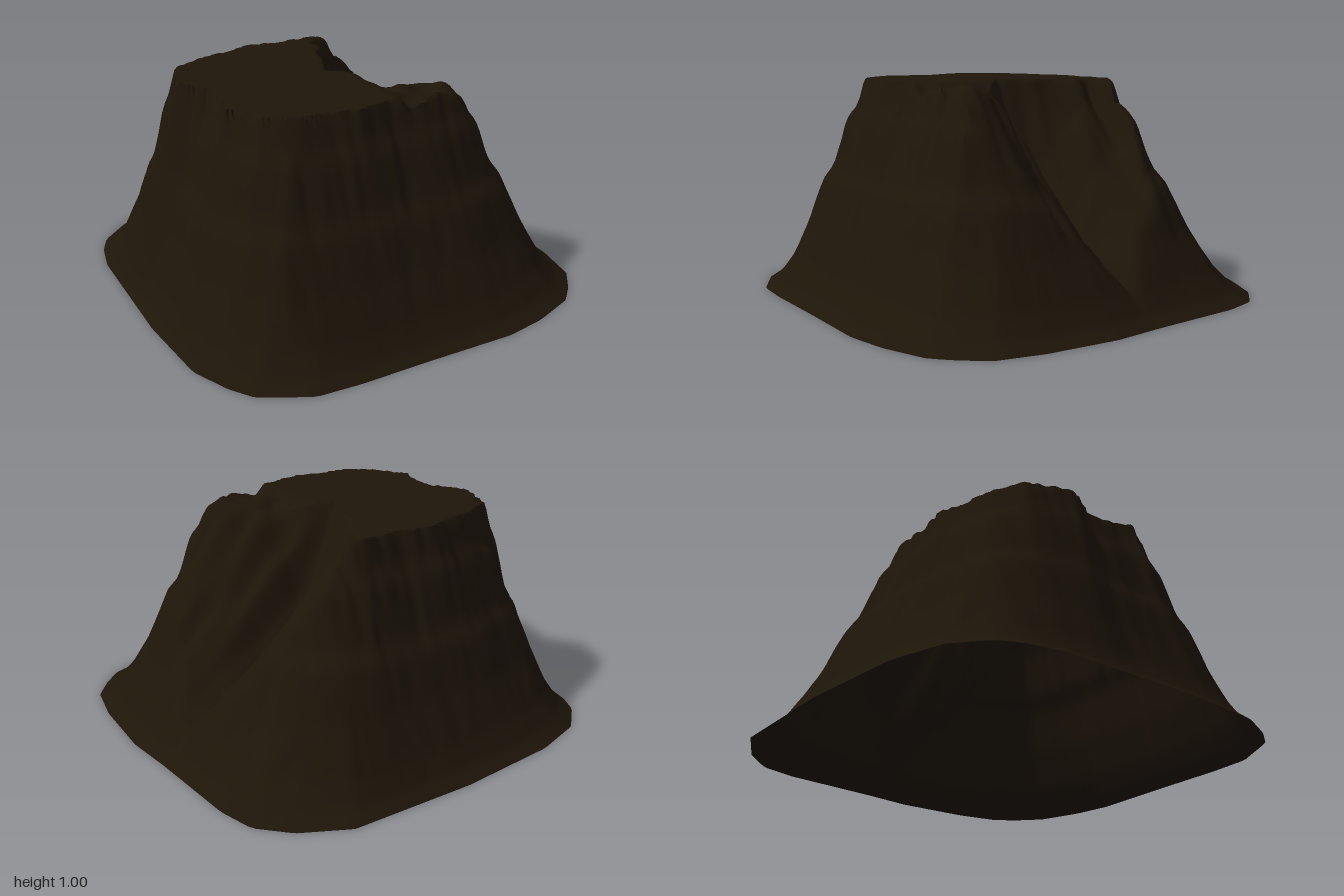
import * as THREE from 'three';
import { toCreasedNormals } from 'three/addons/utils/BufferGeometryUtils.js';

const { lerp, clamp, smoothstep } = THREE.MathUtils;

// Foot of the mountain and edge of its flat summit, as [x, z] loops by rising angle
const FOOT = [[1, 0.15], [0.97, 0.5], [0.92, 0.71], [0.83, 0.82], [0.74, 0.9], [0.53, 0.97], [0.33, 1],
  [-0.1, 0.98], [-0.43, 0.97], [-0.63, 0.95], [-0.84, 0.83], [-0.91, 0.72], [-0.98, 0.54], [-1, 0.15],
  [-0.97, -0.52], [-0.93, -0.68], [-0.88, -0.78], [-0.74, -0.9], [-0.49, -0.97], [0, -1], [0.59, -0.975],
  [0.8, -0.86], [0.92, -0.73], [0.96, -0.56], [0.98, -0.1]];
const SUMMIT = [[0.47, 0.1], [0.47, 0.3], [0.4, 0.46], [0.15, 0.51], [-0.2, 0.52], [-0.45, 0.5], [-0.56, 0.41],
  [-0.65, 0.23], [-0.61, 0.16], [-0.61, -0.02], [-0.69, -0.17], [-0.65, -0.26], [-0.61, -0.38],
  [-0.45, -0.46], [-0.2, -0.51], [0.05, -0.5], [0.2, -0.5], [0.33, -0.41], [0.43, -0.25]];

// Slope height from summit edge (0) to foot (1), and gully floor height along x
const SLOPE = [[0, 1], [0.07, 0.88], [0.17, 0.8], [0.31, 0.58], [0.41, 0.51], [0.56, 0.31], [0.75, 0.125], [0.88, 0.04], [1, 0]];
const FLOOR = [[-0.03, 1], [0.08, 0.78], [0.2, 0.59], [0.4, 0.41], [0.7, 0.22], [0.82, 0.14], [1, 0.04]];

function lookup(table, t) {
  if (t <= table[0][0]) return table[0][1];
  for (let i = 1; i < table.length; i++) {
    const [x0, y0] = table[i - 1], [x1, y1] = table[i];
    if (t <= x1) return y0 + (y1 - y0) * (t - x0) / (x1 - x0);
  }
  return table[table.length - 1][1];
}

// Distance from the centre to a loop in a given direction
function reach(loop, dx, dz) {
  for (let i = 0; i < loop.length; i++) {
    const [ax, az] = loop[i], [bx, bz] = loop[(i + 1) % loop.length];
    const ca = dx * az - dz * ax, cb = dx * bz - dz * bx;
    if (ca <= 0 && cb > 0) {
      const k = ca / (ca - cb);
      return (ax + (bx - ax) * k) * dx + (az + (bz - az) * k) * dz;
    }
  }
  return 1;
}

// Smooth value noise in the range -1 to 1
function hash(i, j) {
  const s = Math.sin(i * 127.1 + j * 311.7) * 43758.5453;
  return (s - Math.floor(s)) * 2 - 1;
}
function noise(x, y) {
  const i = Math.floor(x), j = Math.floor(y), u = x - i, v = y - j;
  const a = u * u * (3 - 2 * u), b = v * v * (3 - 2 * v);
  return lerp(lerp(hash(i, j), hash(i + 1, j), a), lerp(hash(i, j + 1), hash(i + 1, j + 1), a), b);
}

// Lower of two heights, with the crease between them rounded off
function softMin(a, b, k) {
  const h = Math.max(k - Math.abs(a - b), 0) / k;
  return Math.min(a, b) - h * h * k * 0.25;
}

function heightAt(x, z, r, top) {
  // Rough ribs running down the slopes, fading towards the foot
  const t = (r - top) / (1 - top);
  const fade = Math.max(0, 1 - Math.max(t, 0));
  const across = Math.abs(x) > Math.abs(z) ? z : x;
  const ribs = noise(across * 13 + 50, r * 5) * 0.035 + noise(across * 28 + 90, r * 12) * 0.02;
  const mound = lookup(SLOPE, t + ribs * fade);
  // Gully cutting down the left flank, steeper on its front wall and opening out below
  const side = z + 0.02 + 0.06 * x + noise(x * 7, z * 7) * 0.03;
  const wall = (side < 0 ? 1.05 - 0.4 * x : 1.55 - 1.1 * x) * Math.abs(side);
  const rough = noise(z * 15, x * 3 + 7) * 0.09 * fade * clamp(x * 6, 0, 1);
  const gully = lookup(FLOOR, x) + wall + rough;
  // Worn shoulder in front of the gully head
  const worn = z > 0 ? 0.04 * smoothstep(x, 0.03, 0.12) : 0;
  const shoulder = 1 - worn * (1 + noise(x * 12, z * 12));
  return clamp(softMin(Math.min(mound, shoulder), gully, 0.06 * smoothstep(x, 0, 0.3) + 0.01), 0, 1);
}

export function createModel() {
  const group = new THREE.Group();
  const SEGMENTS = 220, RINGS = 64;
  const positions = [], index = [];

  // Rings growing from the centre to the foot, lifted to the terrain height
  for (let i = 0; i <= RINGS; i++) {
    const r = i / RINGS;
    for (let j = 0; j < SEGMENTS; j++) {
      const a = (j / SEGMENTS) * Math.PI * 2;
      const dx = Math.cos(a), dz = Math.sin(a);
      const foot = reach(FOOT, dx, dz);
      const x = dx * foot * r, z = dz * foot * r;
      positions.push(x, i === RINGS ? 0 : heightAt(x, z, r, reach(SUMMIT, dx, dz) / foot), z);
      if (i === RINGS) continue;
      const k = (j + 1) % SEGMENTS;
      const p = i * SEGMENTS + j, q = i * SEGMENTS + k;
      if (i > 0) index.push(p, q, p + SEGMENTS);
      index.push(q, q + SEGMENTS, p + SEGMENTS);
    }
  }

  const geometry = new THREE.BufferGeometry();
  geometry.setAttribute('position', new THREE.Float32BufferAttribute(positions, 3));
  geometry.setIndex(index);

  // Open-bottomed rock shell
  const mountain = new THREE.Mesh(
    toCreasedNormals(geometry, 0.8),
    new THREE.MeshStandardMaterial({ color: 0x1e1509, side: THREE.DoubleSide })
  );
  mountain.name = 'mountain';
  group.add(mountain);
  return group;
}
